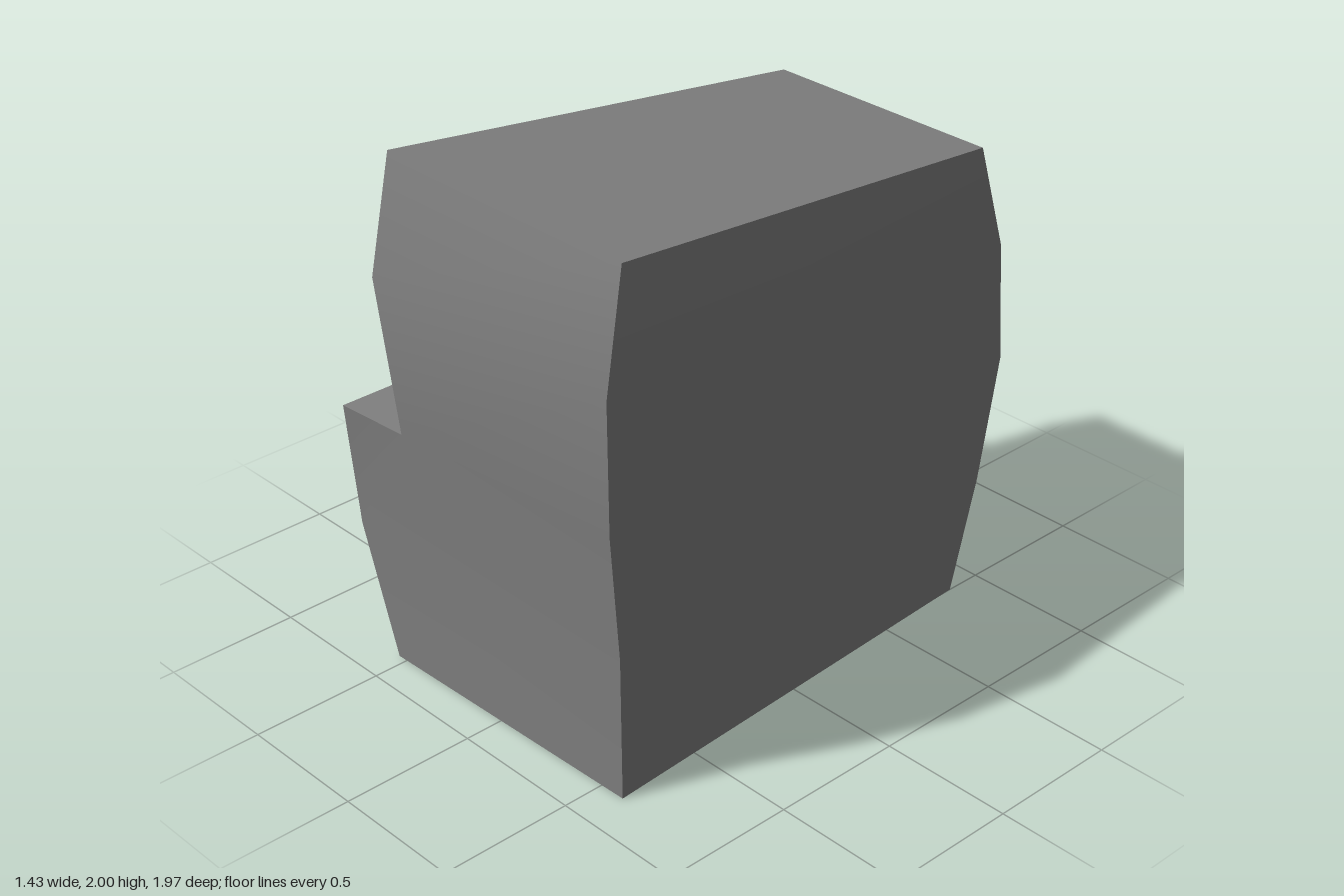
import * as THREE from 'three';

// Stepped outlines, running up the left side, over the top and down the step
const front = [
  [0.6, 0, 0.84], [0.63, 0.57, 0.87], [0.68, 1.08, 0.95], [0.715, 1.58, 0.985], [0.7, 2, 0.905],
  [-0.39, 2, 0.905], [-0.4, 1.58, 0.985], [-0.36, 1, 0.935],
  [-0.65, 1, 0.955], [-0.675, 0.5, 0.89], [-0.54, 0, 0.865],
];
const back = [
  [0.5, 0, -0.86], [0.53, 0.45, -0.94], [0.565, 0.94, -0.985], [0.59, 1.41, -0.92], [0.595, 1.81, -0.79],
  [-0.33, 1.81, -0.79], [-0.335, 1.41, -0.915], [-0.31, 1, -0.95],
  [-0.64, 1, -0.86], [-0.72, 0.47, -0.845], [-0.58, 0, -0.895],
];

// Triangles that fill either outline
const capFaces = [
  10, 0, 1, 10, 1, 9, 7, 9, 1, 7, 8, 9, 7, 1, 2,
  7, 2, 3, 7, 3, 6, 6, 3, 4, 6, 4, 5,
];

export function createModel() {
  const model = new THREE.Group();
  model.name = 'steppedBlock';
  const grey = new THREE.MeshStandardMaterial({ color: 0x808080 });
  grey.name = 'grey';

  // Each face has its own points: smooth inside, sharp at its border
  function addFace(name, points, index) {
    const geometry = new THREE.BufferGeometry();
    geometry.setAttribute('position', new THREE.Float32BufferAttribute(points.flat(), 3));
    geometry.setIndex(index);
    geometry.computeVertexNormals();
    const mesh = new THREE.Mesh(geometry, grey);
    mesh.name = name;
    model.add(mesh);
  }

  addFace('frontFace', front, capFaces);
  addFace('backFace', back, [...capFaces].reverse());

  // Strips joining the front outline to the back outline
  function addStrip(name, start, end) {
    const points = [];
    const index = [];
    for (let i = start; i <= end; i++) {
      points.push(front[i % 11], back[i % 11]);
      if (i < end) {
        const a = 2 * (i - start);
        index.push(a, a + 1, a + 3, a, a + 3, a + 2);
      }
    }
    addFace(name, points, index);
  }

  addStrip('leftSide', 0, 4);
  addStrip('top', 4, 5);
  addStrip('upperRightSide', 5, 7);
  addStrip('ledge', 7, 8);
  addStrip('lowerRightSide', 8, 10);
  addStrip('bottom', 10, 11);
  return model;
}
